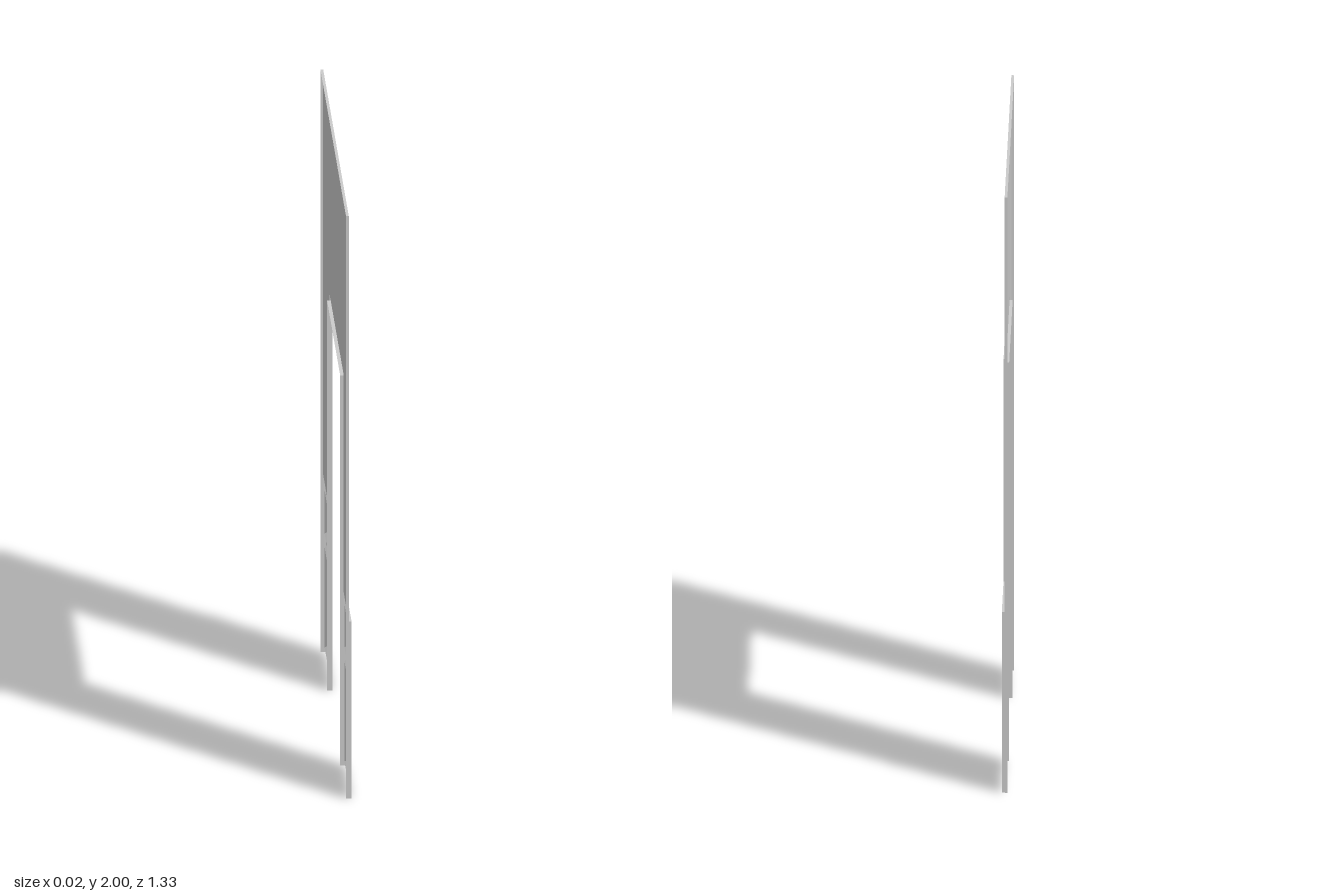
import * as THREE from 'three';

// The wall is drawn flat as (u, y) with u = -z; depth d becomes x.
const BACK = -0.009, WALL = 0, TRIM = 0.009;
const U0 = -0.665, U1 = 0.665, TOP = 2;   // wall outline
const A0 = -0.364, A1 = 0.317, AH = 1.338; // door opening
const F = 0.016, RAIL = 0.608;             // casing width, wainscot height

const material = new THREE.MeshStandardMaterial({ color: 0xcccccc, side: THREE.DoubleSide });

function add(group, name, geometry) {
  geometry.rotateY(Math.PI / 2);
  const mesh = new THREE.Mesh(geometry, material);
  mesh.name = name;
  group.add(mesh);
}

const toPath = (pts) => pts.map(([u, y]) => new THREE.Vector2(u, y));
const rect = ([u0, y0, u1, y1], inset = 0) => [
  [u0 + inset, y0 + inset], [u1 - inset, y0 + inset],
  [u1 - inset, y1 - inset], [u0 + inset, y1 - inset],
];

// Flat face at depth d, with optional holes
function face(pts, d, holes = []) {
  const shape = new THREE.Shape(toPath(pts));
  holes.forEach((h) => shape.holes.push(new THREE.Path(toPath(h))));
  return new THREE.ShapeGeometry(shape).translate(0, 0, d);
}

// Flat-shaded band joining two matching outlines at two depths
function band(p, dp, q, dq, closed = false) {
  const v = [];
  const n = closed ? p.length : p.length - 1;
  for (let i = 0; i < n; i++) {
    const j = (i + 1) % p.length;
    const a = [...p[i], dp], b = [...p[j], dp], c = [...q[j], dq], d = [...q[i], dq];
    v.push(...a, ...b, ...c, ...a, ...c, ...d);
  }
  const g = new THREE.BufferGeometry();
  g.setAttribute('position', new THREE.Float32BufferAttribute(v, 3));
  g.computeVertexNormals();
  return g;
}

export function createModel() {
  const group = new THREE.Group();
  group.name = 'panelledDoorwayWall';

  // Outlines shared by the faces and their edges
  const opening = [[A0, 0], [A0, AH], [A1, AH], [A1, 0]];
  const step = [[U0, RAIL], [A0 - F, RAIL], [A0 - F, AH + F],
    [A1 + F, AH + F], [A1 + F, RAIL], [U1, RAIL]];
  const wallEdge = [[U1, RAIL], [U1, TOP], [U0, TOP], [U0, RAIL]];

  // Sunken mouldings: two per leg
  const panels = [];
  for (const [u0, u1] of [[-0.64, -0.404], [0.355, 0.63]]) {
    panels.push([u0, 0.025, u1, 0.38], [u0, 0.417, u1, 0.575]);
  }

  // Plain upper wall and its edge return
  add(group, 'upperWall', face([...step, ...wallEdge.slice(1, 3)], WALL));
  add(group, 'upperWallEdge', band(wallEdge, BACK, wallEdge, WALL));

  // Wainscot and door casing form one raised face
  add(group, 'wainscotAndCasing',
    face([[U0, 0], ...step, [U1, 0], ...[...opening].reverse()], TRIM, panels.map((p) => rect(p))));
  add(group, 'trimStep', band(step, WALL, step, TRIM));
  add(group, 'doorJamb', band(opening, TRIM, opening, BACK));
  for (const u of [U0, U1]) {
    const end = [[u, 0], [u, RAIL]];
    add(group, 'wainscotEnd', band(end, BACK, end, TRIM));
  }

  // Grooved moulding around each flat panel
  for (const p of panels) {
    add(group, 'mouldingOuterSlope', band(rect(p), TRIM, rect(p, 0.006), 0.002, true));
    add(group, 'mouldingInnerSlope', band(rect(p, 0.006), 0.002, rect(p, 0.012), TRIM, true));
    add(group, 'panelField', face(rect(p, 0.012), TRIM));
  }
  return group;
}
